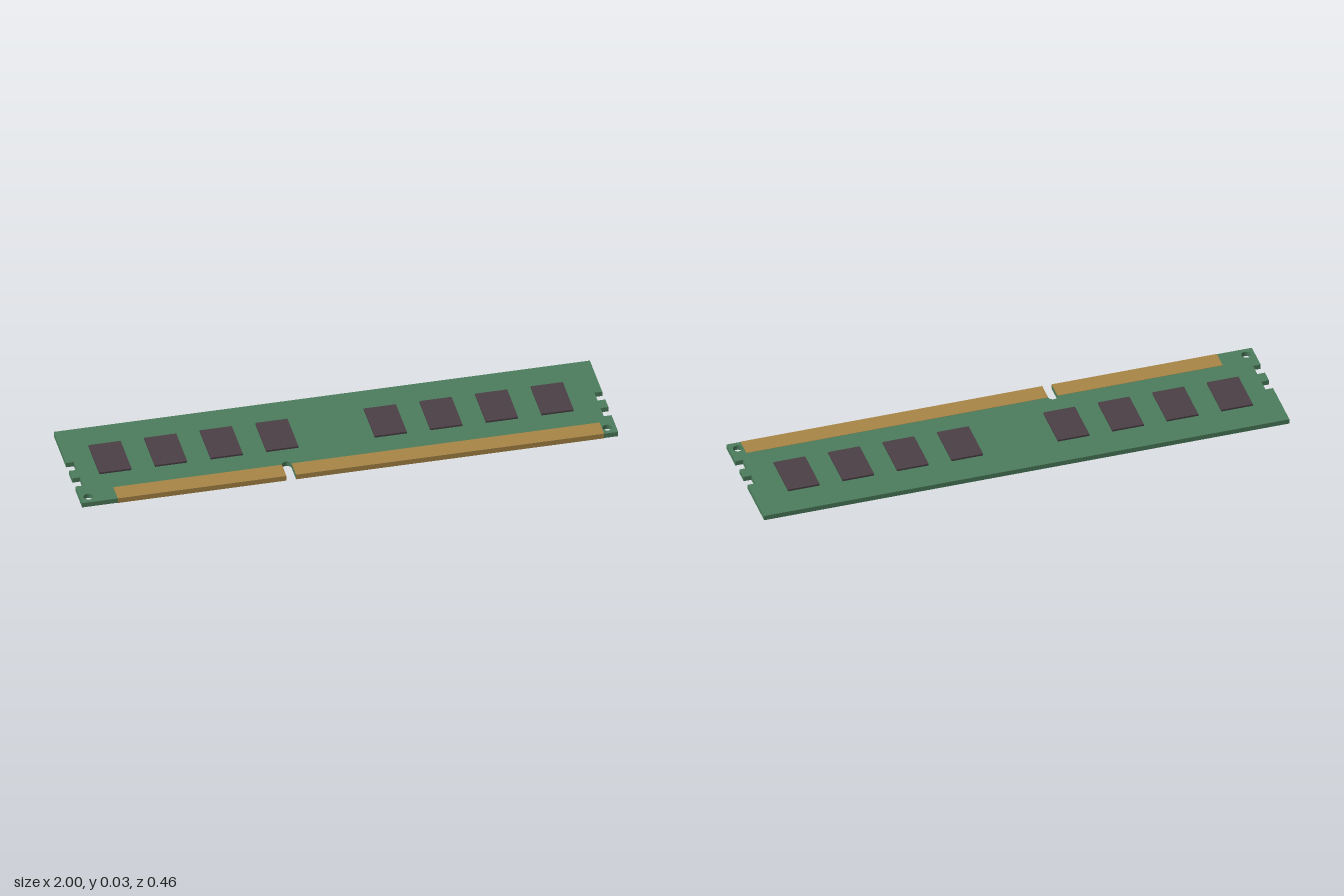
import * as THREE from 'three';

const Z = 0.23, Y0 = 0.007, Y1 = 0.026;
const mat = (name, color) => new THREE.MeshStandardMaterial({ name, color });

export function createModel() {
  const green = mat('board green', 0x4c7d5c);
  const gold = mat('contact gold', 0xa98547);
  const dark = mat('chip dark', 0x4a3f46);
  const group = new THREE.Group();
  group.name = 'memoryModule';

  const box = (name, m, x0, x1, y0, y1, z0, z1) => {
    const mesh = new THREE.Mesh(new THREE.BoxGeometry(x1 - x0, y1 - y0, z1 - z0), m);
    mesh.position.set((x0 + x1) / 2, (y0 + y1) / 2, (z0 + z1) / 2);
    mesh.name = name;
    group.add(mesh);
  };

  // Board outline, drawn with shape y = -z
  const s = new THREE.Shape();
  const slotL = -0.238, slotR = -0.202, r = (slotR - slotL) / 2;
  s.moveTo(-1, -Z);
  s.lineTo(slotL, -Z);
  s.lineTo(slotL, -0.16);
  s.absarc(slotL + r, -0.16, r, Math.PI, 0, true);
  s.lineTo(slotR, -Z);
  s.lineTo(1, -Z);
  // Latch notches on both short edges
  const notches = [[0.122, 0.07], [0.021, -0.029]];
  const cut = (side, a, b) => {
    s.lineTo(side, -a);
    s.lineTo(side * 0.971, -a);
    s.lineTo(side * 0.971, -b);
    s.lineTo(side, -b);
  };
  for (const [a, b] of notches) cut(1, a, b);
  s.lineTo(1, Z);
  s.lineTo(-1, Z);
  for (const [a, b] of [...notches].reverse()) cut(-1, b, a);
  s.closePath();

  // Corner holes
  for (const side of [-1, 1]) {
    const hole = new THREE.Path();
    hole.absarc(side * 0.968, -0.195, 0.018, 0, Math.PI * 2, true);
    s.holes.push(hole);
  }
  const geo = new THREE.ExtrudeGeometry(s, { depth: Y1 - Y0, bevelEnabled: false, curveSegments: 16 });
  geo.rotateX(-Math.PI / 2).translate(0, Y0, 0);
  const board = new THREE.Mesh(geo, green);
  board.name = 'circuitBoard';
  group.add(board);

  // Edge contacts: thin plates on the top, bottom and front edge
  const t = 0.0008;
  for (const [a, b] of [[-0.867, slotL], [slotR, 0.947]]) {
    box('topContacts', gold, a, b, Y1 - t, Y1 + t, 0.158, Z + t);
    box('bottomContacts', gold, a, b, Y0 - t, Y0 + t, 0.158, Z + t);
    box('edgeContacts', gold, a, b, Y0, Y1, Z - t, Z + t);
  }

  // Memory chips on both faces
  for (const start of [-0.838, 0.189]) {
    for (let i = 0; i < 4; i++) {
      const x = start + i * 0.2075;
      box('topChip', dark, x - 0.06, x + 0.06, Y1, 0.033, -0.111, 0.067);
      box('bottomChip', dark, x - 0.06, x + 0.06, 0, Y0, -0.111, 0.067);
    }
  }
  return group;
}
